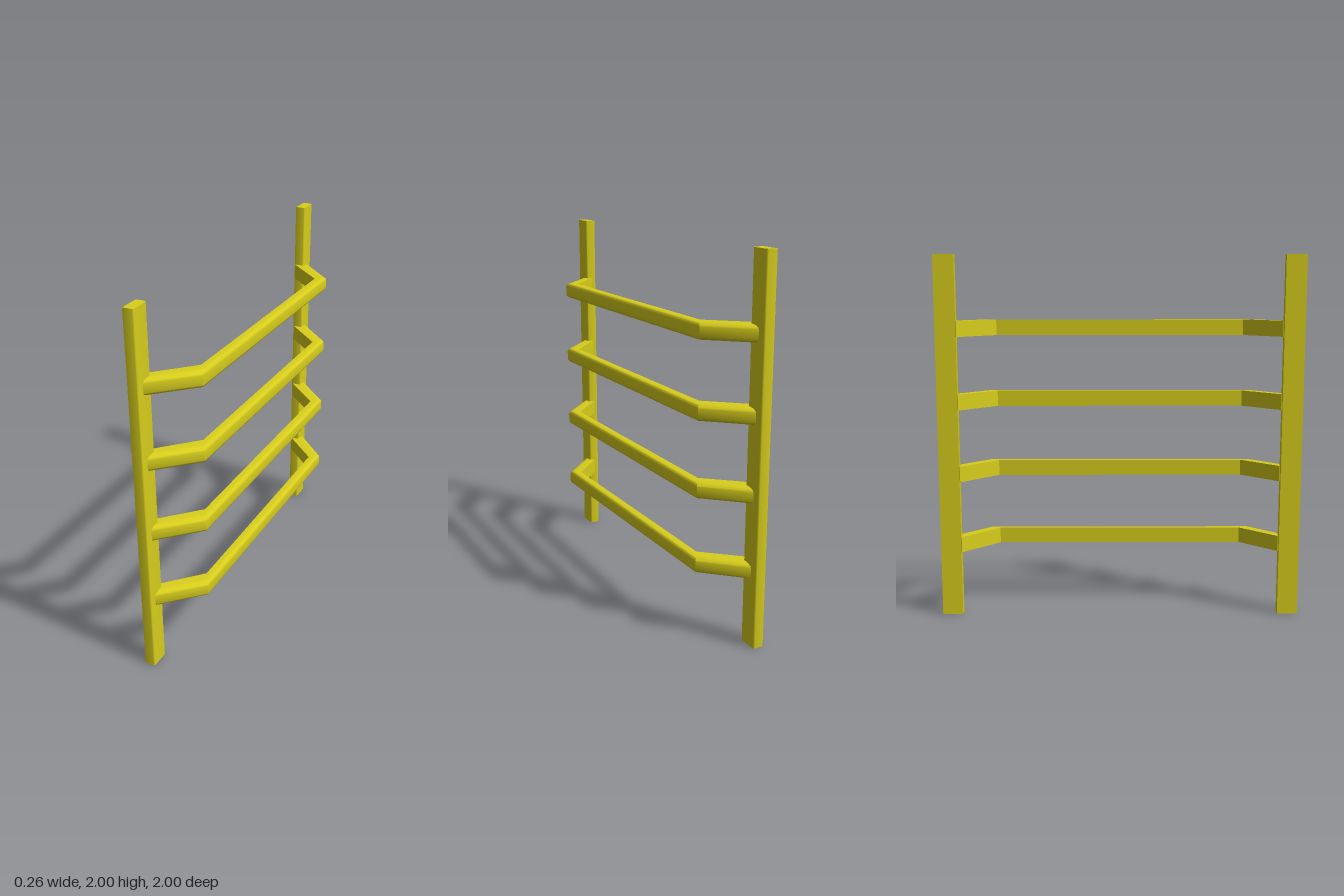
import * as THREE from 'three';
import { toCreasedNormals } from 'three/addons/utils/BufferGeometryUtils.js';

const material = new THREE.MeshStandardMaterial({ color: 0xd8ce1c });

// Flat-backed bar section with two rounded front corners; x runs 0..depth, counter-clockwise
function section(depth, halfHeight, radius, steps = 4) {
  const pts = [[0, -halfHeight]];
  for (const side of [-1, 1]) {
    for (let i = 0; i <= steps; i++) {
      const a = (side < 0 ? i / steps - 1 : i / steps) * Math.PI / 2;
      pts.push([depth - radius + radius * Math.cos(a), side * (halfHeight - radius) + radius * Math.sin(a)]);
    }
  }
  pts.push([0, halfHeight]);
  return pts;
}

// Sweep a section through stations, each given as inner [x, z] and outer [x, z]
function sweep(profile, depth, stations) {
  const n = profile.length, pos = [], idx = [];
  for (const [[ix, iz], [ox, oz]] of stations) {
    for (const [d, y] of profile) {
      const t = d / depth;
      pos.push(ix + t * (ox - ix), y, iz + t * (oz - iz));
    }
  }
  for (let s = 0; s < stations.length - 1; s++) {
    for (let i = 0; i < n; i++) {
      const j = (i + 1) % n, a = s * n, b = a + n;
      idx.push(a + i, b + i, a + j, a + j, b + i, b + j);
    }
  }
  const last = (stations.length - 1) * n;
  for (let i = 1; i < n - 1; i++) idx.push(0, i, i + 1, last, last + i + 1, last + i);
  const geo = new THREE.BufferGeometry();
  geo.setAttribute('position', new THREE.Float32BufferAttribute(pos, 3));
  geo.setIndex(idx);
  return toCreasedNormals(geo, 0.6);
}

export function createModel() {
  const group = new THREE.Group();
  const add = (geo, name, x, y, z) => {
    const mesh = new THREE.Mesh(geo, material);
    mesh.name = name;
    mesh.position.set(x, y, z);
    group.add(mesh);
  };

  // Upright posts, rounded on the side facing the rungs
  const postShape = new THREE.Shape(section(0.056, 0.0565, 0.013).map(p => new THREE.Vector2(...p)));
  const postGeo = toCreasedNormals(
    new THREE.ExtrudeGeometry(postShape, { depth: 2, bevelEnabled: false }).rotateX(-Math.PI / 2), 0.6);
  add(postGeo, 'frontPost', -0.131, 0, 0.9435);
  add(postGeo, 'backPost', -0.131, 0, -0.9435);

  // Bent rungs: slanted ends, straight middle
  const rungGeo = sweep(section(0.046, 0.0435, 0.02), 0.046, [
    [[-0.106, 0.884], [-0.083, 0.965]],
    [[0.08, 0.69], [0.126, 0.76]],
    [[0.08, -0.693], [0.126, -0.76]],
    [[-0.126, -0.884], [-0.083, -0.963]],
  ]);
  for (let i = 0; i < 4; i++) add(rungGeo, `rung${i + 1}`, 0, 0.403 + 0.4 * i, 0);

  return group;
}
